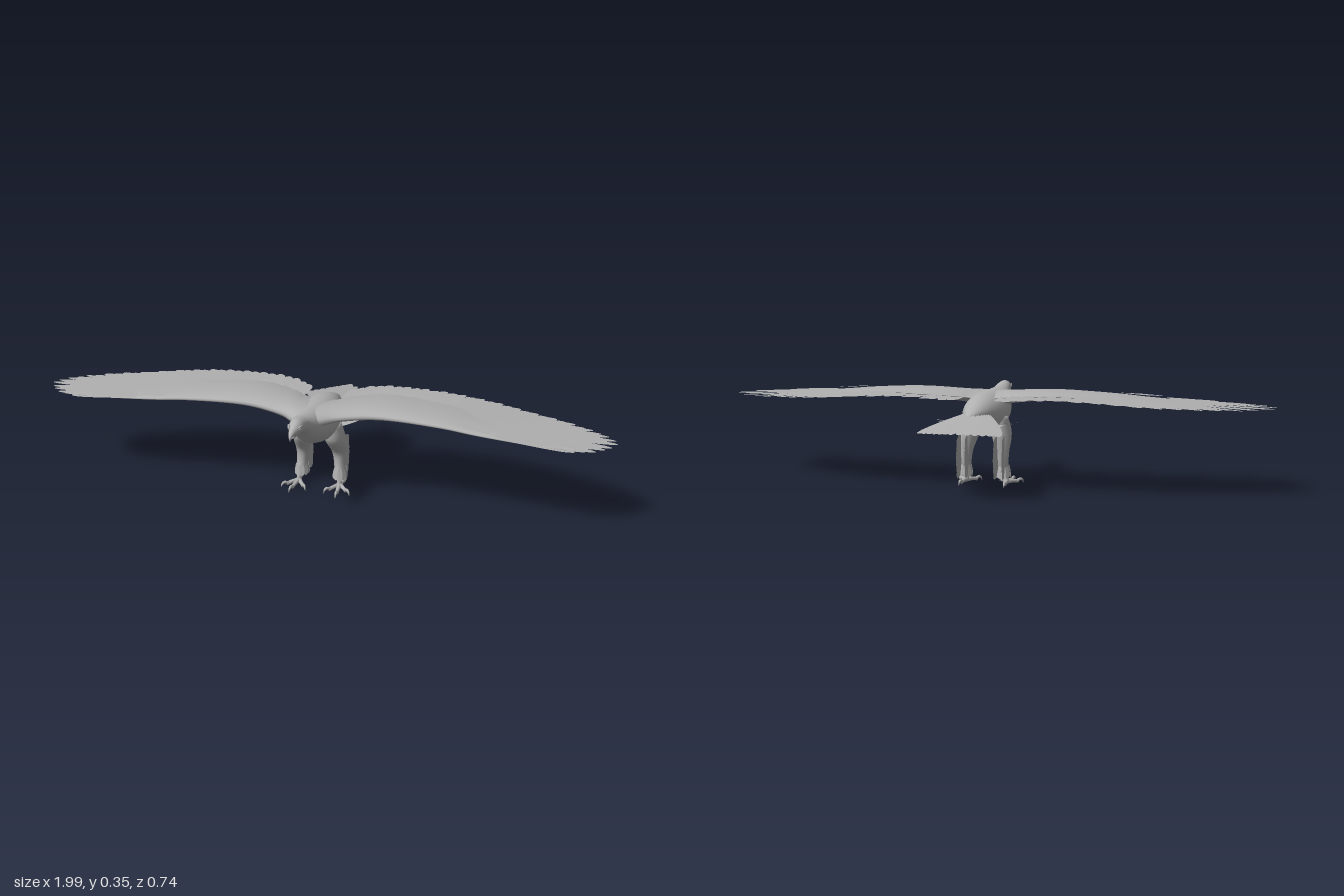
import * as THREE from 'three';
import { mergeGeometries } from 'three/addons/utils/BufferGeometryUtils.js';

const V = (x, y, z) => new THREE.Vector3(x, y, z);
const plumage = new THREE.MeshStandardMaterial({ color: 0xb0b0b0, side: THREE.DoubleSide });
plumage.name = 'plumageGrey';

function part(name, geometry) {
  const mesh = new THREE.Mesh(Array.isArray(geometry) ? mergeGeometries(geometry) : geometry, plumage);
  mesh.name = name;
  return mesh;
}

// Smoothly resample a table of cross-section values
function resample(table, n) {
  const channels = table[0].map((_, c) => new THREE.SplineCurve(table.map((r, i) => new THREE.Vector2(i, r[c]))));
  return Array.from({ length: n + 1 }, (_, i) => channels.map(ch => ch.getPoint(i / n).y));
}

// Closed skin over rings of points, capped and turned to face outward
function loft(rings) {
  const m = rings[0].length, pts = rings.flat(), index = [];
  for (let i = 0; i < rings.length - 1; i++) {
    for (let j = 0; j < m; j++) {
      const a = i * m + j, b = i * m + (j + 1) % m;
      index.push(a, b, b + m, a, b + m, a + m);
    }
  }
  [0, rings.length - 1].forEach((r, end) => {
    const mid = pts.length;
    pts.push(rings[r].reduce((s, p) => s.add(p), V(0, 0, 0)).divideScalar(m));
    for (let j = 0; j < m; j++) {
      const a = r * m + j, b = r * m + (j + 1) % m;
      if (end) index.push(a, b, mid); else index.push(b, a, mid);
    }
  });
  let volume = 0;
  for (let i = 0; i < index.length; i += 3) {
    volume += pts[index[i]].dot(V(0, 0, 0).crossVectors(pts[index[i + 1]], pts[index[i + 2]]));
  }
  if (volume < 0) index.reverse();
  const g = new THREE.BufferGeometry().setFromPoints(pts);
  g.setIndex(index);
  g.computeVertexNormals();
  return g;
}

const ellipse = (n, f) => Array.from({ length: n }, (_, j) => {
  const a = j / n * Math.PI * 2;
  return f(Math.cos(a), Math.sin(a));
});

// Round limb along a curve, with radii spread evenly along it
function taper(points, radii, steps = 12, sides = 10) {
  const curve = new THREE.CatmullRomCurve3(points);
  const frames = curve.computeFrenetFrames(steps);
  const r = resample(radii.map(v => [v]), steps);
  return loft(r.map(([rad], i) => {
    const c = curve.getPointAt(i / steps);
    return ellipse(sides, (u, v) => c.clone().addScaledVector(frames.normals[i], u * rad)
      .addScaledVector(frames.binormals[i], v * rad));
  }));
}

// Flat vane with a narrow root and rounded tip
function feather(base, tip, width, up = V(0, 1, 0)) {
  const s = new THREE.Shape();
  s.moveTo(-0.2, 0);
  s.bezierCurveTo(-0.45, 0.25, -0.55, 0.6, -0.42, 0.84);
  s.quadraticCurveTo(-0.25, 1, 0, 1);
  s.quadraticCurveTo(0.25, 1, 0.42, 0.84);
  s.bezierCurveTo(0.55, 0.6, 0.45, 0.25, 0.2, 0);
  const dir = tip.clone().sub(base), length = dir.length();
  dir.normalize();
  const side = V(0, 0, 0).crossVectors(dir, up).normalize();
  const normal = V(0, 0, 0).crossVectors(side, dir);
  const m = new THREE.Matrix4().makeBasis(side, dir, normal).setPosition(base);
  return new THREE.ShapeGeometry(s, 5).scale(width, length, 1).applyMatrix4(m);
}

// Wing sections: x, leading z, trailing z, top y, thickness
const wingTable = [
  [0.01, 0.235, 0.0, 0.328, 0.05], [0.055, 0.198, 0.0, 0.331, 0.052], [0.1, 0.173, -0.03, 0.335, 0.046],
  [0.2, 0.156, -0.06, 0.342, 0.04], [0.3, 0.157, -0.06, 0.342, 0.034], [0.45, 0.168, -0.04, 0.333, 0.024],
  [0.55, 0.178, -0.01, 0.323, 0.018], [0.65, 0.184, 0.04, 0.315, 0.013], [0.75, 0.188, 0.09, 0.309, 0.009],
  [0.87, 0.187, 0.15, 0.304, 0.004]];
const wingY = x => {
  const i = Math.max(1, wingTable.findIndex(r => r[0] > x));
  if (x >= 0.87) return 0.302;
  const a = wingTable[i - 1], b = wingTable[i], t = (x - a[0]) / (b[0] - a[0]);
  const mid = r => r[3] - r[4] * 0.35;
  return mid(a) + (mid(b) - mid(a)) * t;
};
const flatCurve = list => new THREE.CatmullRomCurve3(list.map(([x, z]) => V(x, 0, z)));
const tipCurve = flatCurve([[0.87, 0.19], [0.935, 0.17], [0.975, 0.13], [0.998, 0.08], [0.955, 0.03], [0.9, -0.01],
  [0.8, -0.055], [0.7, -0.09], [0.6, -0.125], [0.45, -0.146], [0.3, -0.152], [0.15, -0.147], [0.085, -0.11]]);
const rootCurve = flatCurve([[0.62, 0.172], [0.63, 0.16], [0.63, 0.145], [0.62, 0.125], [0.6, 0.11], [0.57, 0.09],
  [0.5, 0.06], [0.4, 0.03], [0.3, 0.03], [0.2, 0.04], [0.09, 0.06]]);

function makeWing(s) {
  const wing = new THREE.Group();
  wing.name = s > 0 ? 'leftWing' : 'rightWing';
  // Arm with an airfoil section
  wing.add(part('wingArm', loft(resample(wingTable, 36).map(([x, lead, trail, top, th]) =>
    ellipse(24, (c, sn) => {
      const u = (1 - c) / 2;
      const h = th / 2 * Math.sqrt(u) * (1 - u) / 0.385;
      return V(x * s, top - th * (0.5 - 0.2 * u) + Math.sign(sn) * h, lead + (trail - lead) * u);
    })))));
  // Flight feathers fan from the hand to the elbow
  const flight = [], coverts = [], count = 36;
  for (let i = 0; i < count; i++) {
    const t = i / (count - 1);
    const p = tipCurve.getPointAt(t), q = rootCurve.getPointAt(t);
    const lift = (i % 2) * 0.002;
    const at = (v, dy) => V(v.x * s, wingY(v.x) + dy, v.z);
    flight.push(feather(at(q, lift), at(p, lift - 0.002), t < 0.3 ? 0.036 : 0.05));
    coverts.push(feather(at(q, 0.005), at(q.clone().lerp(p, 0.62), 0.003 + lift), 0.046));
  }
  wing.add(part('flightFeathers', flight), part('covertFeathers', coverts));
  // Short feathers on the wrist
  const wrist = [0, 1, 2, 3].map(i => feather(V(s * (0.47 + i * 0.015), 0.336 - i * 0.002, 0.115 + i * 0.017),
    V(s * (0.575 + i * 0.012), 0.329 - i * 0.002, 0.118 + i * 0.017), 0.018));
  wing.add(part('wristFeathers', wrist));
  return wing;
}

function makeLeg(s) {
  const leg = new THREE.Group();
  leg.name = s > 0 ? 'leftLeg' : 'rightLeg';
  // Feathered thigh: y, centre x, centre z, half width, half depth
  const thigh = [[0.25, 0.045, 0.05, 0.03, 0.05], [0.2, 0.055, 0.048, 0.035, 0.054], [0.165, 0.062, 0.036, 0.032, 0.042],
    [0.13, 0.066, 0.024, 0.025, 0.027], [0.09, 0.068, 0.024, 0.02, 0.024], [0.06, 0.07, 0.03, 0.019, 0.024],
    [0.042, 0.071, 0.036, 0.013, 0.018]];
  leg.add(part('thigh', loft(resample(thigh, 18).map(([y, x, z, rx, rz]) =>
    ellipse(16, (u, v) => V((x + u * rx) * s, y, z + v * rz))))));
  // Trailing leg feathers and the cuff above the foot
  const tufts = [];
  for (let i = 0; i < 7; i++) {
    const y = 0.178 - i * 0.019;
    for (const dx of [-0.013, 0.013]) {
      tufts.push(feather(V((0.067 + dx * 0.9) * s, y, 0.018),
        V((0.067 + dx * 1.2) * s, y - 0.022, -0.05 + Math.abs(i - 3) * 0.003), 0.034, V(Math.sign(dx) * s, 0, 0)));
    }
  }
  for (let i = 0; i < 10; i++) {
    const a = i / 10 * Math.PI * 2, c = Math.cos(a), d = Math.sin(a);
    tufts.push(feather(V((0.07 + c * 0.019) * s, 0.075, 0.026 + d * 0.026),
      V((0.07 + c * 0.025) * s, 0.033, 0.026 + d * 0.033), 0.021, V(c * s, 0, d)));
  }
  leg.add(part('legFeathers', tufts));
  // Shank, toes and hooked claws
  leg.add(part('shank', taper([V(0.071 * s, 0.06, 0.04), V(0.073 * s, 0.035, 0.049), V(0.075 * s, 0.01, 0.05)],
    [0.009, 0.008, 0.011])));
  const toes = [], claws = [];
  for (const [dx, dz] of [[0.033, 0.036], [0.006, 0.06], [-0.028, 0.04], [0.005, -0.044]]) {
    const at = (k, y) => V((0.075 + dx * k) * s, y, 0.05 + dz * k);
    toes.push(taper([at(0, 0.014), at(0.55, 0.014), at(1, 0.011)], [0.009, 0.007, 0.0065]));
    claws.push(taper([at(0.95, 0.013), at(1.2, 0.018), at(1.38, 0.014), at(1.5, 0.003)], [0.006, 0.005, 0.0035, 0.0006]));
  }
  leg.add(part('toes', toes), part('claws', claws));
  // Flank feathers spreading behind the thigh
  const flank = [];
  for (let i = 0; i < 7; i++) {
    const t = i / 6;
    flank.push(feather(V((0.055 - t * 0.02) * s, 0.222 - t * 0.006, 0.02 - t * 0.03),
      V((0.145 - t * 0.085) * s, 0.243 - t * 0.008, -0.075 - 0.105 * Math.sin(t * 2.2)), 0.04));
  }
  leg.add(part('flankFeathers', flank));
  return leg;
}

export function createModel() {
  const bird = new THREE.Group();
  bird.name = 'bird';
  // Body from face to tail root: z, top, bottom, half width
  const body = [[0.344, 0.331, 0.309, 0.009], [0.33, 0.341, 0.303, 0.016], [0.305, 0.352, 0.301, 0.024],
    [0.275, 0.349, 0.294, 0.028], [0.245, 0.342, 0.274, 0.034], [0.21, 0.337, 0.242, 0.047], [0.165, 0.335, 0.214, 0.062],
    [0.12, 0.334, 0.197, 0.072], [0.06, 0.333, 0.185, 0.076], [0, 0.328, 0.19, 0.07], [-0.05, 0.318, 0.205, 0.058],
    [-0.1, 0.3, 0.232, 0.04], [-0.14, 0.283, 0.256, 0.022], [-0.17, 0.27, 0.264, 0.004]];
  bird.add(part('body', loft(resample(body, 52).map(([z, top, low, w]) =>
    ellipse(28, (u, v) => V(u * w, (top + low) / 2 + v * (top - low) / 2, z))))));
  // Hooked beak
  bird.add(part('upperBeak', taper([V(0, 0.321, 0.332), V(0, 0.321, 0.351), V(0, 0.315, 0.363), V(0, 0.299, 0.366)],
    [0.014, 0.011, 0.006, 0.0006], 16, 14)));
  bird.add(part('lowerBeak', taper([V(0, 0.308, 0.325), V(0, 0.305, 0.34), V(0, 0.304, 0.353)], [0.009, 0.006, 0.001])));
  for (const s of [1, -1]) {
    // Eye under a heavy brow
    bird.add(part('eye', new THREE.SphereGeometry(0.005, 12, 8).translate(s * 0.0175, 0.329, 0.322)));
    bird.add(part('brow', taper([V(s * 0.013, 0.333, 0.336), V(s * 0.02, 0.336, 0.322), V(s * 0.023, 0.334, 0.306)],
      [0.001, 0.0035, 0.001])));
    bird.add(makeWing(s), makeLeg(s));
  }
  // Tail fan, middle feathers on top
  const tail = [];
  for (let i = -6; i <= 6; i++) {
    const t = i / 6, k = Math.abs(t);
    tail.push(feather(V(t * 0.035, 0.286 - k * 0.018, -0.07), V(t * 0.138, 0.235 - k * 0.012, -0.368 + k * 0.078), 0.046));
  }
  bird.add(part('tailFeathers', tail));
  return bird;
}
